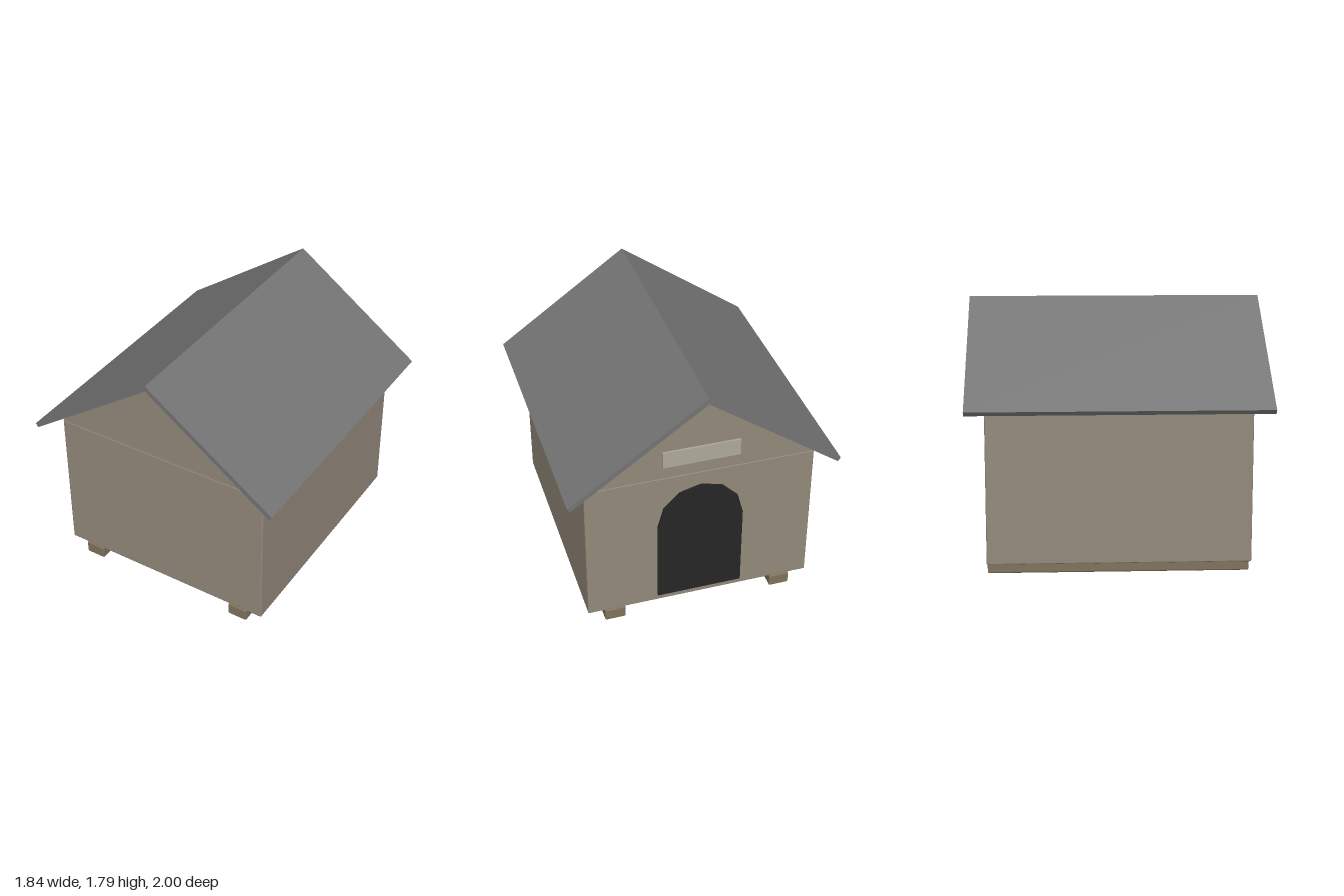
import * as THREE from 'three';
import { RoundedBoxGeometry } from 'three/addons/geometries/RoundedBoxGeometry.js';

const material = (color) => new THREE.MeshStandardMaterial({ color, flatShading: true });

export function createModel() {
  const model = new THREE.Group();
  model.name = 'kennel';
  const wood = material(0x948a7c);
  const darkWood = material(0x80735c);
  const roofing = material(0x747474);
  const black = material(0x262626);
  const pale = material(0xaeab9c);

  const add = (name, geometry, mat, x = 0, y = 0, z = 0) => {
    const mesh = new THREE.Mesh(geometry, mat);
    mesh.name = name;
    mesh.position.set(x, y, z);
    model.add(mesh);
    return mesh;
  };

  // Outline in x/y, extruded along z from z0 to z1
  const prism = (name, shape, mat, z0, z1, curveSegments = 6) =>
    add(name, new THREE.ExtrudeGeometry(shape, { depth: z1 - z0, bevelEnabled: false, curveSegments }), mat, 0, 0, z0);
  const outline = (points) => new THREE.Shape(points.map(([x, y]) => new THREE.Vector2(x, y)));

  // Body with slightly eased edges
  const bottom = 0.095, wallTop = 1.14, halfDepth = 0.875;
  add('body', new RoundedBoxGeometry(1.57, wallTop - bottom, 2 * halfDepth, 1, 0.008), wood, 0, (bottom + wallTop) / 2, 0);

  // Solid gable under the roof
  prism('gable', outline([[-0.785, wallTop], [0.785, wallTop], [0, 1.705]]), wood, -halfDepth, halfDepth);

  // Two roof slabs meeting at the ridge, floating clear of the gable
  for (const side of [1, -1]) {
    const points = [[0, 1.75], [0.902, 1.112], [0.92, 1.139], [0, 1.79]].map(([x, y]) => [x * side, y]);
    prism(side > 0 ? 'leftRoofSlab' : 'rightRoofSlab', outline(points), roofing, -1, 1);
  }

  // Runners underneath
  for (const side of [1, -1]) {
    add(side > 0 ? 'leftRunner' : 'rightRunner',
      new RoundedBoxGeometry(0.145, 0.09, 2 * halfDepth, 1, 0.01), darkWood, side * 0.595, 0.045, 0);
  }

  // Arched doorway panel on the back wall
  const radius = 0.295, spring = 0.745;
  const arch = new THREE.Shape();
  arch.moveTo(-radius, 0.14);
  arch.lineTo(radius, 0.14);
  arch.lineTo(radius, spring);
  arch.absarc(0, spring, radius, 0, Math.PI, false);
  arch.closePath();
  prism('doorway', arch, black, -halfDepth - 0.012, -halfDepth + 0.01, 3);

  // Blank name plate above the doorway
  add('namePlate', new THREE.BoxGeometry(0.525, 0.12, 0.022), pale, 0, 1.29, -halfDepth - 0.001);

  return model;
}
